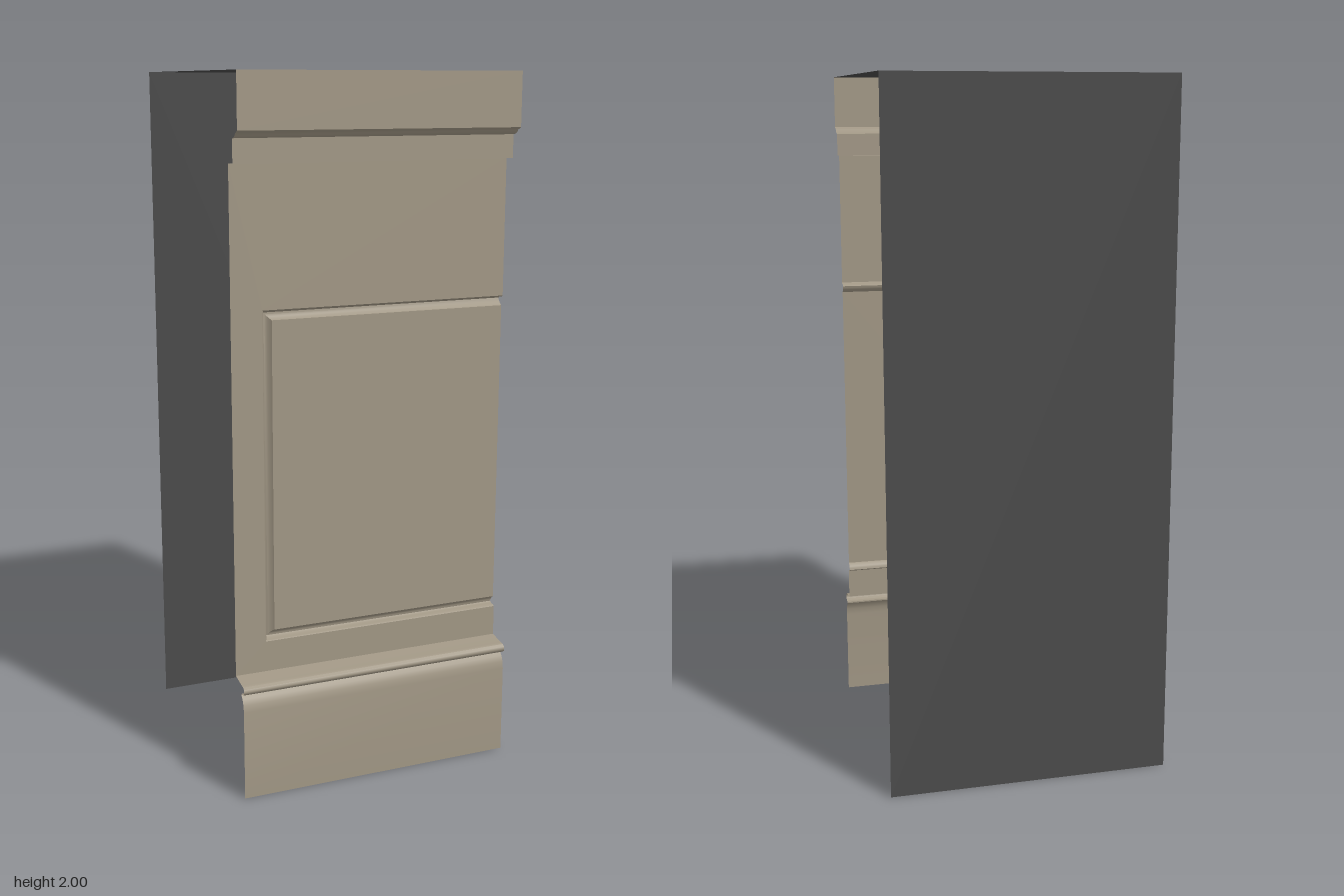
import * as THREE from 'three';
import { toCreasedNormals } from 'three/addons/utils/BufferGeometryUtils.js';

const HALF_W = 0.41, HALF_D = 0.405, WALL_Z = 0.33, PANEL_Z = 0.323;
const material = (color) => new THREE.MeshStandardMaterial({ color, side: THREE.DoubleSide });

// Skin between successive rows of points, creased at sharp edges
function loft(rows) {
  const n = rows[0].length, index = [];
  for (let i = 0; i < rows.length - 1; i++) {
    for (let j = 0; j < n - 1; j++) {
      const a = i * n + j, b = a + 1, c = a + n, d = c + 1;
      index.push(a, b, d, a, d, c);
    }
  }
  const geo = new THREE.BufferGeometry();
  geo.setAttribute('position', new THREE.Float32BufferAttribute(rows.flat(2), 3));
  geo.setIndex(index);
  return toCreasedNormals(geo, 0.7);
}

// Horizontal moulding: profile of [y, z] running the full width
const moulding = (profile) =>
  loft(profile.map(([y, z]) => [[-HALF_W, y, z], [HALF_W, y, z]]));

// Flat sheet facing the front
function sheet(points, z) {
  const shape = new THREE.Shape(points.map(([x, y]) => new THREE.Vector2(x, y)));
  return new THREE.ShapeGeometry(shape).translate(0, 0, z);
}

// Three-sided frame path, open at the +x edge, inset by d
const framePath = (d) => [
  [HALF_W, 1.376 - d], [-0.32 + d, 1.376 - d], [-0.32 + d, 0.434 + d], [HALF_W, 0.434 + d],
];

export function createModel() {
  const model = new THREE.Group();
  const stone = material(0xa09684), dark = material(0x4a4a4a);
  const add = (name, geo, mat) => {
    const mesh = new THREE.Mesh(geo, mat);
    mesh.name = name;
    model.add(mesh);
  };

  // Plinth with a cove and rounded bead on top
  add('plinth', moulding([
    [0, 0.395], [0.26, 0.395], [0.28, 0.392], [0.296, 0.385], [0.306, 0.375],
    [0.31, 0.375], [0.311, 0.391], [0.316, 0.398], [0.323, 0.4], [0.33, 0.398],
    [0.335, 0.391], [0.336, 0.38], [0.345, WALL_Z],
  ]), stone);

  // Wall around the recessed frame
  add('wall', sheet([
    [-HALF_W, 0.345], [HALF_W, 0.345], ...framePath(0).reverse(),
    [HALF_W, 1.765], [-HALF_W, 1.765],
  ], WALL_Z), stone);

  // Frame moulding: steps in, then curves back out to the panel
  const frameProfile = [
    [0, WALL_Z], [0.003, 0.326], [0.005, 0.312], [0.009, 0.307], [0.014, 0.308],
    [0.02, 0.312], [0.026, 0.318], [0.029, PANEL_Z],
  ];
  add('panelFrame', loft(frameProfile.map(([d, z]) =>
    framePath(d).map(([x, y]) => [x, y, z]))), stone);
  add('innerPanel', sheet(framePath(0.029), PANEL_Z), stone);

  // Stepped cornice
  add('cornice', moulding([
    [1.765, WALL_Z], [1.765, 0.365], [1.83, 0.365], [1.832, 0.376], [1.837, 0.385],
    [1.843, 0.39], [1.845, 0.395], [1.85, HALF_D], [2, HALF_D],
  ]), stone);

  // Plain top and back sheets
  add('top', new THREE.PlaneGeometry(2 * HALF_W, 2 * HALF_D)
    .rotateX(-Math.PI / 2).translate(0, 2, 0), dark);
  add('back', new THREE.PlaneGeometry(2 * HALF_W, 2)
    .rotateY(Math.PI).translate(0, 1, -HALF_D), dark);

  return model;
}
